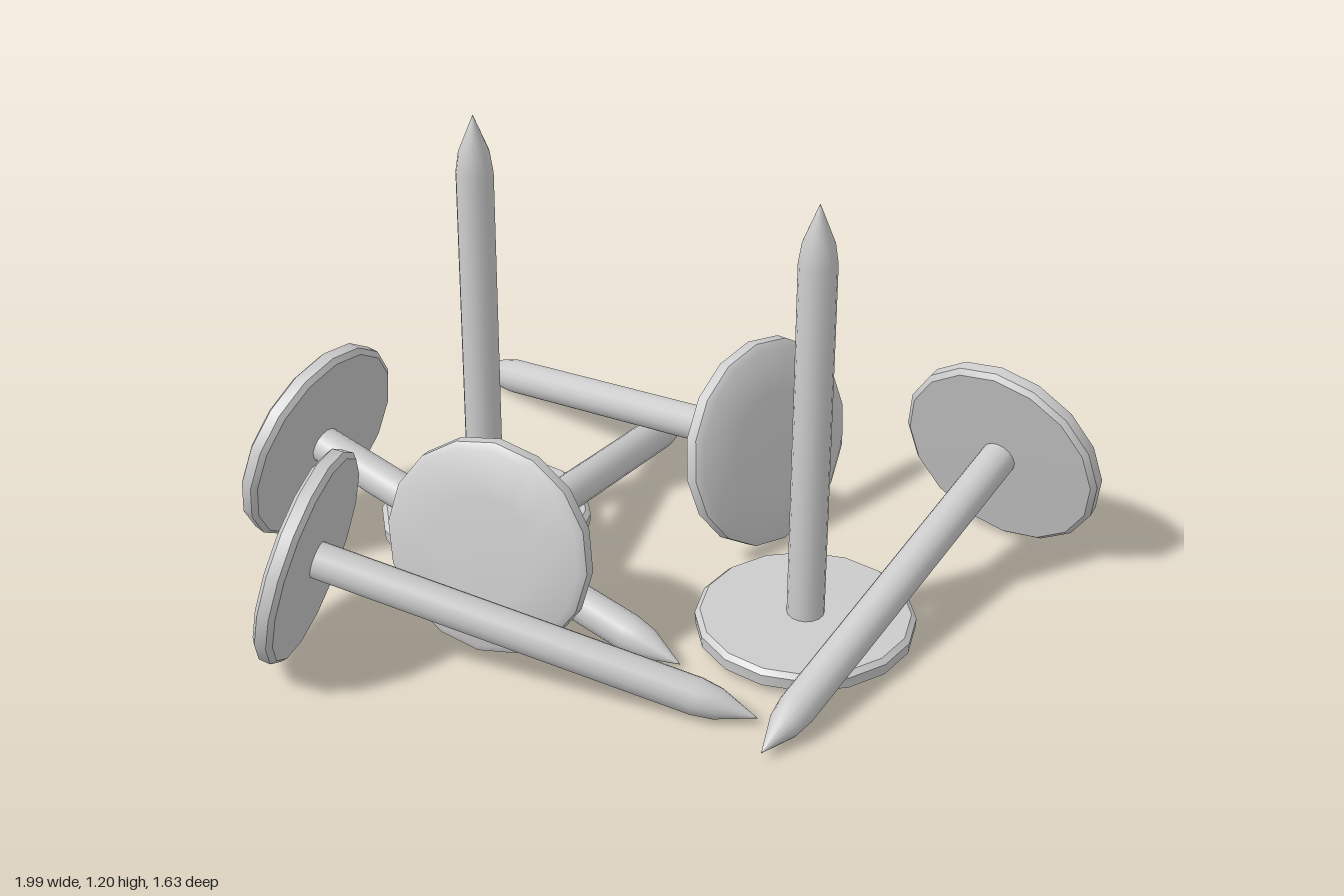
import * as THREE from 'three';
import { toCreasedNormals } from 'three/addons/utils/BufferGeometryUtils.js';

const LENGTH = 1.195;
const TILT = THREE.MathUtils.degToRad(12.6);

const lathe = (points) => toCreasedNormals(
  new THREE.LatheGeometry(points.map(([r, y]) => new THREE.Vector2(r, y)), 16), 0.6);

export function createModel() {
  const group = new THREE.Group();
  const material = new THREE.MeshStandardMaterial({ color: 0xcccccc });

  // wide, slightly domed head with a rounded rim
  const headGeometry = lathe([
    [0, 0], [0.14, 0.003], [0.255, 0.01], [0.273, 0.022],
    [0.275, 0.052], [0.262, 0.064], [0, 0.066],
  ]);
  // straight shank ending in a sharp point
  const shankGeometry = lathe([
    [0.047, 0.06], [0.047, 1.04], [0.039, 1.095], [0, LENGTH],
  ]);

  const addNail = (name) => {
    const nail = new THREE.Group();
    nail.name = name;
    const head = new THREE.Mesh(headGeometry, material);
    head.name = 'nailHead';
    const shank = new THREE.Mesh(shankGeometry, material);
    shank.name = 'nailShank';
    nail.add(head, shank);
    group.add(nail);
    return nail;
  };

  // nails standing on their heads: x, z
  for (const [x, z] of [[-0.513, -0.12], [0.426, -0.042]]) {
    addNail('standingNail').position.set(x, 0, z);
  }

  // nails lying on head rim and point: tip x, tip z, head x, head z
  const lying = [
    [0.215, 0.24, -0.905, 0.068],
    [0.47, 0.355, -0.65, 0.54],
    [-0.268, -0.818, -0.266, 0.32],
    [-0.905, -0.818, 0.157, -0.42],
    [0.53, 0.475, 0.722, -0.643],
  ];
  for (const [tipX, tipZ, headX, headZ] of lying) {
    const nail = addNail('lyingNail');
    nail.rotation.set(Math.PI / 2 + TILT, Math.atan2(tipX - headX, tipZ - headZ), 0, 'YXZ');
    const axis = new THREE.Vector3(0, 1, 0).applyEuler(nail.rotation);
    nail.position.set(tipX, 0.022, tipZ).addScaledVector(axis, -LENGTH);
  }
  return group;
}
